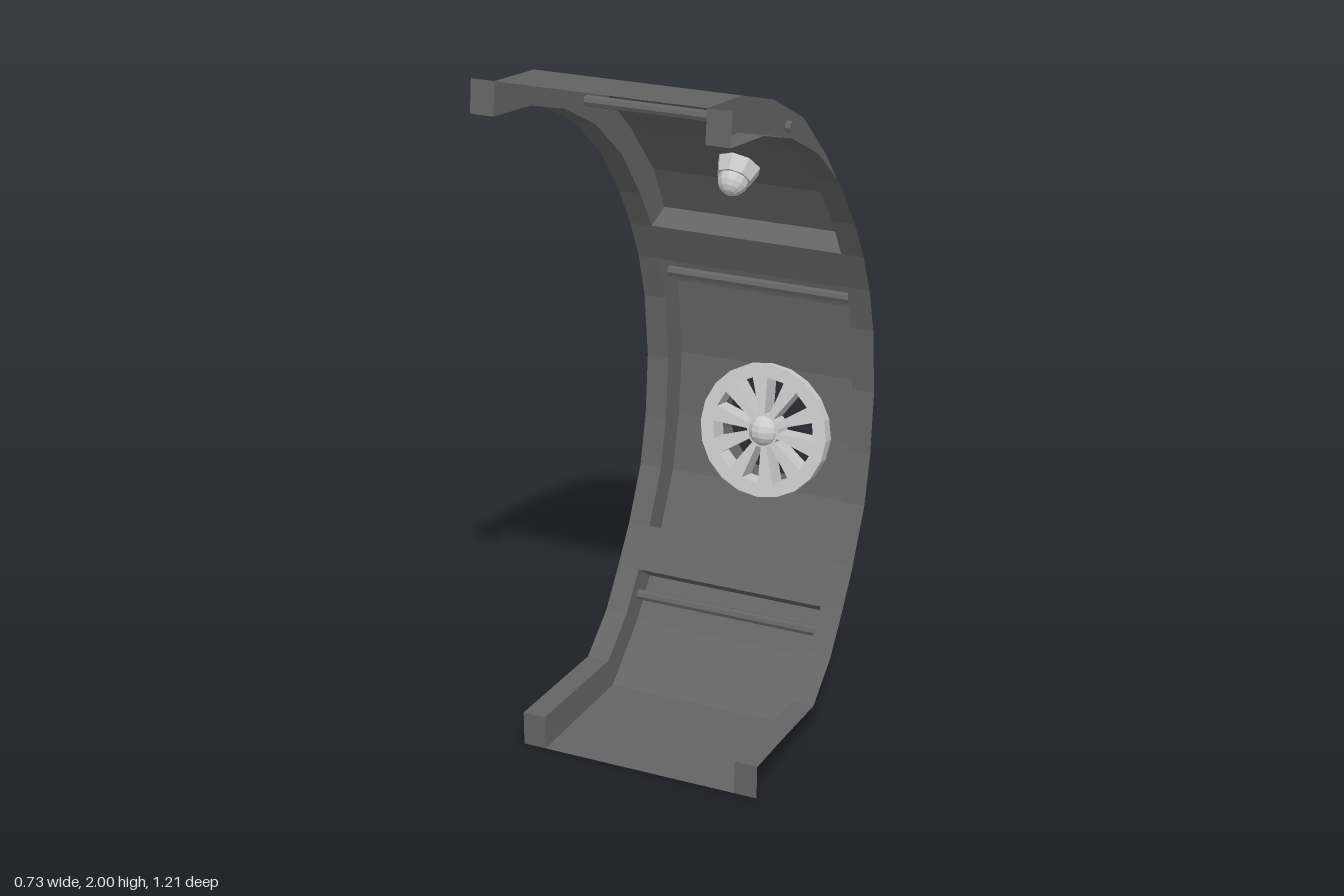
import * as THREE from 'three';

const PANEL = 0.295, FLANGE = 0.363; // half widths

const dark = new THREE.MeshStandardMaterial({ color: 0x646464, flatShading: true, side: THREE.DoubleSide });
const light = new THREE.MeshStandardMaterial({ color: 0xcccccc, flatShading: true });

// Matching [z, y] profiles of the recessed skin (outer) and the flanges (inner)
const upper = {
  outer: [[0.595, 2], [0.387, 1.98], [0.19, 1.92], [-0.01, 1.82], [-0.17, 1.675], [-0.308, 1.52], [-0.38, 1.385]],
  inner: [[0.605, 1.91], [0.408, 1.889], [0.228, 1.835], [0.048, 1.745], [-0.106, 1.62], [-0.223, 1.47], [-0.293, 1.353]],
};
const middle = {
  outer: [[-0.435, 1.263], [-0.472, 1.13], [-0.493, 0.897], [-0.472, 0.705], [-0.43, 0.535], [-0.34, 0.366]],
  inner: [[-0.345, 1.236], [-0.382, 1.103], [-0.4, 0.907], [-0.382, 0.72], [-0.345, 0.573], [-0.265, 0.414]],
};
const lower = {
  outer: [[-0.265, 0.25], [-0.175, 0.138], [-0.01, 0], [0.414, 0]],
  inner: [[-0.19, 0.302], [-0.106, 0.19], [0.016, 0.092], [0.414, 0.1]],
};

function named(name, geometry, material) {
  const mesh = new THREE.Mesh(geometry, material);
  mesh.name = name;
  return mesh;
}

function sheet(name, quads) {
  const pos = [];
  for (const [a, b, c, d] of quads) pos.push(...a, ...b, ...c, ...a, ...c, ...d);
  const g = new THREE.BufferGeometry();
  g.setAttribute('position', new THREE.Float32BufferAttribute(pos, 3));
  g.computeVertexNormals();
  return named(name, g, dark);
}

const at = (x, [z, y]) => [x, y, z];
const band = (x0, p, x1, q) => [at(x0, p), at(x1, p), at(x1, q), at(x0, q)];

// Pressed panel: skin, side walls, flanges, closed ends and corner tabs
function pressedPanel(name, { outer, inner }, closedEnds, openEnds, skipSkin = []) {
  const quads = [];
  for (let i = 0; i + 1 < outer.length; i++) {
    if (!skipSkin.includes(i)) quads.push(band(-PANEL, outer[i], PANEL, outer[i + 1]));
    for (const s of [-1, 1]) {
      quads.push([at(s * PANEL, outer[i]), at(s * PANEL, outer[i + 1]), at(s * PANEL, inner[i + 1]), at(s * PANEL, inner[i])]);
      quads.push(band(s * PANEL, inner[i], s * FLANGE, inner[i + 1]));
    }
  }
  for (const i of closedEnds) quads.push(band(-PANEL, outer[i], PANEL, inner[i]));
  for (const i of openEnds) for (const s of [-1, 1]) quads.push(band(s * PANEL, outer[i], s * FLANGE, inner[i]));
  return sheet(name, quads);
}

// One facet of skin from p to q with half of the round vent opening cut out
function notchedFacet(p, q, notchAtEnd) {
  const len = Math.hypot(q[0] - p[0], q[1] - p[1]), r = 0.165;
  const s = new THREE.Shape();
  s.moveTo(-PANEL, 0);
  if (!notchAtEnd) s.lineTo(-r, 0).absarc(0, 0, r, Math.PI, 0, true);
  s.lineTo(PANEL, 0).lineTo(PANEL, len);
  if (notchAtEnd) s.lineTo(r, len).absarc(0, len, r, 0, -Math.PI, true);
  s.lineTo(-PANEL, len);
  const g = new THREE.ShapeGeometry(s, 12), a = g.attributes.position;
  for (let i = 0; i < a.count; i++) {
    const t = a.getY(i) / len;
    a.setXYZ(i, a.getX(i), p[1] + (q[1] - p[1]) * t, p[0] + (q[0] - p[0]) * t);
  }
  g.computeVertexNormals();
  return named('ventFacet', g, dark);
}

function buildVent() {
  const vent = new THREE.Group();
  vent.name = 'vent';
  const tilt = -0.185;

  // Slotted disc with a round hub
  const disc = new THREE.Shape().absarc(0, 0, 0.203, 0, Math.PI * 2);
  for (let i = 0; i < 10; i++) {
    const a = THREE.MathUtils.degToRad(8 + 36 * i);
    const corner = (r, w) => new THREE.Vector2(r, w).rotateAround(new THREE.Vector2(), a);
    disc.holes.push(new THREE.Path([corner(0.05, -0.007), corner(0.16, -0.027), corner(0.16, 0.027), corner(0.05, 0.007)]));
  }
  const grille = new THREE.Group();
  grille.name = 'grille';
  grille.position.set(0, 0.7, -0.5);
  grille.rotation.x = tilt;
  grille.add(named('slottedDisc', new THREE.ExtrudeGeometry(disc, { depth: 0.07, bevelEnabled: false, curveSegments: 10 }), light));
  const hub = named('hub', new THREE.SphereGeometry(0.048, 12, 8), light);
  hub.position.z = 0.055;
  grille.add(hub);
  vent.add(grille);

  // Short duct whose ends are sheared to follow the tilted disc
  const ring = new THREE.Shape().absarc(0, 0, 0.18, 0, Math.PI * 2);
  ring.holes.push(new THREE.Path().absarc(0, 0, 0.167, 0, Math.PI * 2, true));
  const g = new THREE.ExtrudeGeometry(ring, { depth: 0.085, bevelEnabled: false, curveSegments: 12 });
  const a = g.attributes.position;
  for (let i = 0; i < a.count; i++) a.setZ(i, a.getZ(i) + a.getY(i) * Math.tan(tilt) * -1 * -1);
  g.computeVertexNormals();
  const duct = named('duct', g, dark);
  duct.position.set(0, 0.7, -0.571);
  vent.add(duct);
  return vent;
}

// Ceiling lamp facing into the curve
function buildLamp() {
  const lamp = new THREE.Group();
  lamp.name = 'lamp';
  const base = named('lampBase', new THREE.CylinderGeometry(0.05, 0.065, 0.045, 8), light);
  base.position.y = 0.0225;
  const bulb = named('bulb', new THREE.SphereGeometry(0.044, 12, 8), light);
  bulb.position.y = 0.052;
  lamp.add(base, bulb);
  lamp.position.set(0, 1.585, -0.25);
  lamp.quaternion.setFromUnitVectors(new THREE.Vector3(0, 1, 0), new THREE.Vector3(0, -0.665, 0.747).normalize());
  return lamp;
}

export function createModel() {
  const model = new THREE.Group();
  model.name = 'curvedWallSection';

  model.add(
    pressedPanel('upperPanel', upper, [6], [0]),
    pressedPanel('middlePanel', middle, [0, 5], [], [2, 3]),
    pressedPanel('lowerPanel', lower, [0], [3]),
    notchedFacet(middle.outer[2], middle.outer[3], true),
    notchedFacet(middle.outer[3], middle.outer[4], false),
  );

  // Flat strips joining the panels
  model.add(
    sheet('upperStrip', [band(-FLANGE, upper.inner[6], FLANGE, middle.inner[0])]),
    sheet('lowerStrip', [band(-FLANGE, middle.inner[5], FLANGE, lower.inner[0])]),
  );

  // Cross rods whose ends show outside the side walls
  for (const [z, y] of [[0.1, 1.825], [-0.41, 1.18], [-0.19, 0.22]]) {
    const rod = named('crossRod', new THREE.CylinderGeometry(0.016, 0.016, 0.62, 8).rotateZ(Math.PI / 2), dark);
    rod.position.set(0, y, z);
    model.add(rod);
  }

  model.add(buildVent(), buildLamp());
  return model;
}
